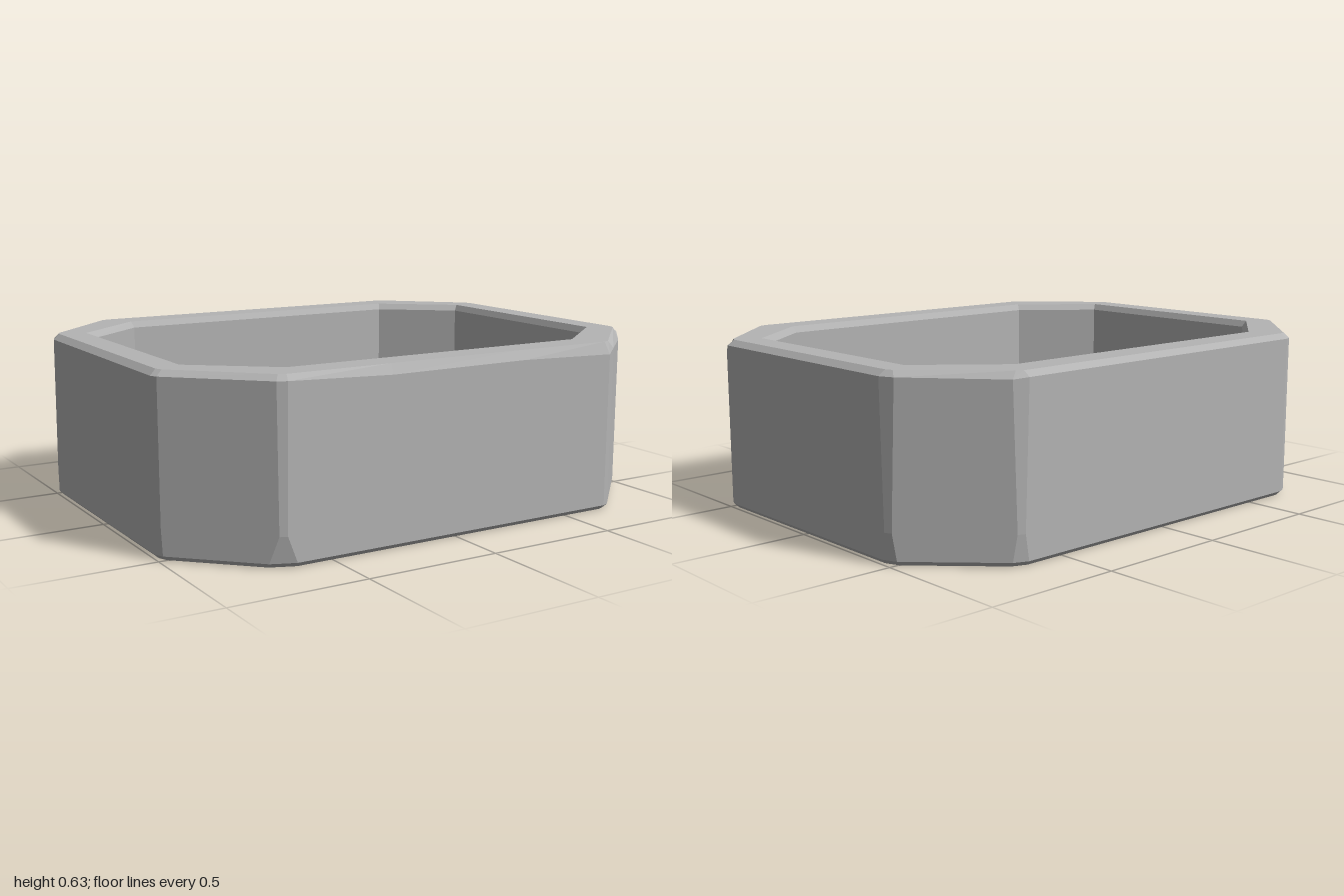
import * as THREE from 'three';

const HEIGHT = 0.635;

// Eight-sided outline; each corner is nicked by its own small amount.
// Two extra points on the front edge allow the worn rim to wander.
function outline(hx, hz, cx, cz, nicks) {
  const corners = [
    [-cx, hz], [cx, hz], [hx, cz], [hx, -cz],
    [cx, -hz], [-cx, -hz], [-hx, -cz], [-hx, cz],
  ].map(([x, z]) => new THREE.Vector2(x, z));
  const points = [];
  const toward = (a, b, d) => a.clone().add(b.clone().sub(a).setLength(d));
  corners.forEach((c, i) => {
    const prev = corners[(i + 7) % 8], next = corners[(i + 1) % 8];
    const d = nicks[i];
    points.push(d ? toward(c, prev, d) : c.clone(), d ? toward(c, next, d) : c.clone());
    if (i === 0) points.push(c.clone().lerp(next, 0.3), c.clone().lerp(next, 0.7));
  });
  return points;
}

// Lift an outline to a height, less an optional drop for each point
function ring(points, y, drops) {
  return points.map((p, i) => new THREE.Vector3(p.x, y - (drops ? drops[i] : 0), p.y));
}

function flatGeometry(triangles) {
  const positions = [];
  const n = new THREE.Vector3(), e = new THREE.Vector3();
  for (const [a, b, c] of triangles) {
    n.subVectors(b, a).cross(e.subVectors(c, a));
    if (n.length() < 1e-9) continue;
    for (const v of [a, b, c]) positions.push(v.x, v.y, v.z);
  }
  const geometry = new THREE.BufferGeometry();
  geometry.setAttribute('position', new THREE.Float32BufferAttribute(positions, 3));
  geometry.computeVertexNormals();
  return geometry;
}

function loft(rings) {
  const triangles = [];
  for (let r = 0; r < rings.length - 1; r++) {
    const low = rings[r], high = rings[r + 1];
    low.forEach((a, i) => {
      const j = (i + 1) % low.length;
      triangles.push([a, low[j], high[j]], [a, high[j], high[i]]);
    });
  }
  return flatGeometry(triangles);
}

function cap(points, up) {
  const center = new THREE.Vector3(0, points[0].y, 0);
  return flatGeometry(points.map((a, i) => {
    const b = points[(i + 1) % points.length];
    return up ? [center, a, b] : [center, b, a];
  }));
}

export function createModel() {
  const group = new THREE.Group();
  group.name = 'planter';
  const stone = new THREE.MeshStandardMaterial({ color: 0xb4b4b4 });
  stone.name = 'grey stone';

  const add = (name, geometry) => {
    const mesh = new THREE.Mesh(geometry, stone);
    mesh.name = name;
    group.add(mesh);
  };

  const even = Array(8).fill(0.015);
  const sharp = Array(8).fill(0);
  const chippedFoot = [0.05, 0.015, 0.015, 0.03, 0.03, 0.02, 0.02, 0.02];
  const chippedTop = [0.02, 0.015, 0.015, 0.03, 0.03, 0.015, 0.03, 0.015];
  // Depth of the worn bevel around the outer top edge
  const wear = [0.02, 0.02, 0.035, 0.033, 0.045, 0.025, 0.05, 0.02, 0.02,
    0.02, 0.025, 0.02, 0.02, 0.02, 0.02, 0.02, 0.02, 0.02];

  const base = ring(outline(0.983, 0.773, 0.683, 0.483, chippedFoot), 0);
  const foot = ring(outline(1, 0.79, 0.69, 0.49, chippedFoot), 0.017);
  const waist = ring(outline(1, 0.79, 0.69, 0.49, even), 0.11);
  const shoulder = ring(outline(1, 0.79, 0.69, 0.49, chippedTop), HEIGHT, wear);
  const rimOuter = ring(outline(0.977, 0.77, 0.68, 0.48, even), HEIGHT);
  const rimInner = ring(outline(0.88, 0.66, 0.605, 0.435, sharp), HEIGHT);
  const lip = ring(outline(0.865, 0.645, 0.597, 0.425, sharp), HEIGHT - 0.024);
  const floor = ring(outline(0.865, 0.645, 0.597, 0.425, sharp), 0.08);

  // Outside shell
  add('underside', cap(base, false));
  add('outerWall', loft([base, foot, waist, shoulder]));
  add('wornEdge', loft([shoulder, rimOuter]));

  // Rim and hollow
  add('rim', loft([rimOuter, rimInner]));
  add('innerLip', loft([rimInner, lip]));
  add('innerWall', loft([lip, floor]));
  add('floor', cap(floor, true));

  return group;
}
